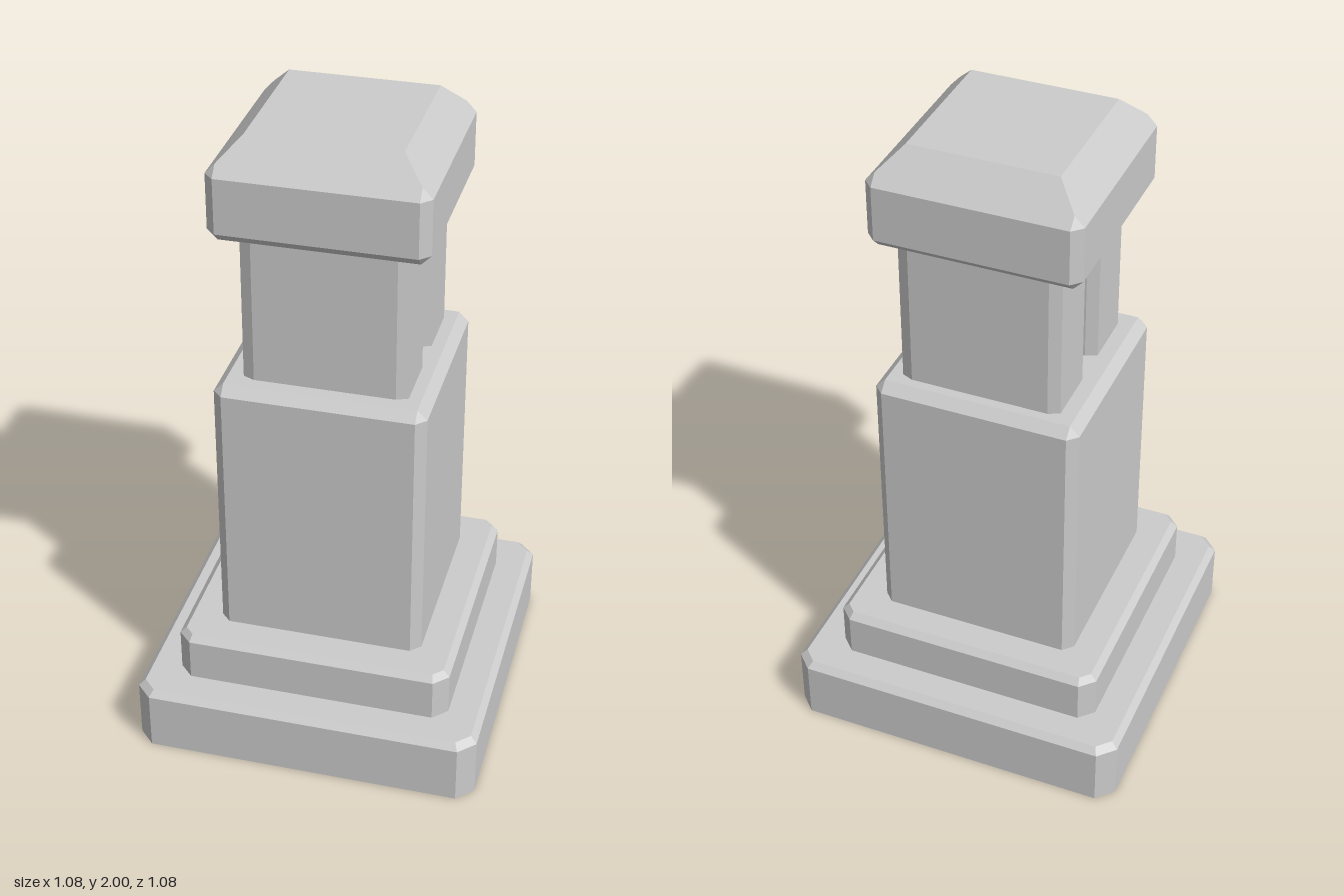
import * as THREE from 'three';

const material = new THREE.MeshStandardMaterial({ color: 0xcccccc, flatShading: true });

// Rectangle with cut corners, counter-clockwise seen from above
function outline({ y, hx, hz = hx, cx = 0, cz = cx }) {
  return [
    [hx, hz - cz], [hx, cz - hz], [hx - cx, -hz], [cx - hx, -hz],
    [-hx, cz - hz], [-hx, hz - cz], [cx - hx, hz], [hx - cx, hz],
  ].map(([x, z]) => new THREE.Vector3(x, y, z));
}

// Joins the outlines from bottom to top and closes both ends
function chamferedBlock(name, levels) {
  const rings = levels.map(outline);
  const points = [];
  const tri = (a, b, c) => {
    if (new THREE.Triangle(a, b, c).getArea() > 1e-7) points.push(a, b, c);
  };
  for (let r = 0; r < rings.length - 1; r++) {
    const low = rings[r], high = rings[r + 1];
    for (let i = 0; i < 8; i++) {
      const j = (i + 1) % 8;
      tri(low[i], low[j], high[j]);
      tri(low[i], high[j], high[i]);
    }
  }
  const bottom = rings[0], top = rings[rings.length - 1];
  for (let i = 1; i < 7; i++) {
    tri(top[0], top[i], top[i + 1]);
    tri(bottom[0], bottom[i + 1], bottom[i]);
  }
  const geometry = new THREE.BufferGeometry().setFromPoints(points);
  geometry.computeVertexNormals();
  const mesh = new THREE.Mesh(geometry, material);
  mesh.name = name;
  return mesh;
}

export function createModel() {
  const model = new THREE.Group();
  model.name = 'pillar';

  // Two stepped plinth slabs
  model.add(chamferedBlock('lowerPlinth', [
    { y: 0, hx: 0.54, cx: 0.05 },
    { y: 0.19, hx: 0.54, cx: 0.05 },
    { y: 0.21, hx: 0.52, cx: 0.04 },
  ]));
  model.add(chamferedBlock('upperPlinth', [
    { y: 0.21, hx: 0.43, cx: 0.043 },
    { y: 0.345, hx: 0.43, cx: 0.043 },
    { y: 0.365, hx: 0.41, cx: 0.028 },
  ]));

  // Main shaft
  model.add(chamferedBlock('shaft', [
    { y: 0.365, hx: 0.32, cx: 0.03 },
    { y: 1.197, hx: 0.32, cx: 0.03 },
    { y: 1.227, hx: 0.29 },
  ]));

  // Pair of upright slabs with an open slot between them
  for (const side of [1, -1]) {
    const slab = chamferedBlock(side > 0 ? 'frontSlab' : 'backSlab',
      [1.22, 1.705].map((y) => ({ y, hx: 0.248, hz: 0.103, cx: 0.035, cz: 0.015 })));
    slab.position.set(0.004, 0, side * 0.152 - 0.005);
    model.add(slab);
  }

  // Cap with a bevelled underside and sloping top
  model.add(chamferedBlock('cap', [
    { y: 1.7, hx: 0.29 },
    { y: 1.73, hx: 0.32, cx: 0.03 },
    { y: 1.9, hx: 0.32, cx: 0.03 },
    { y: 1.932, hx: 0.29 },
    { y: 2, hx: 0.225 },
  ]));

  return model;
}
